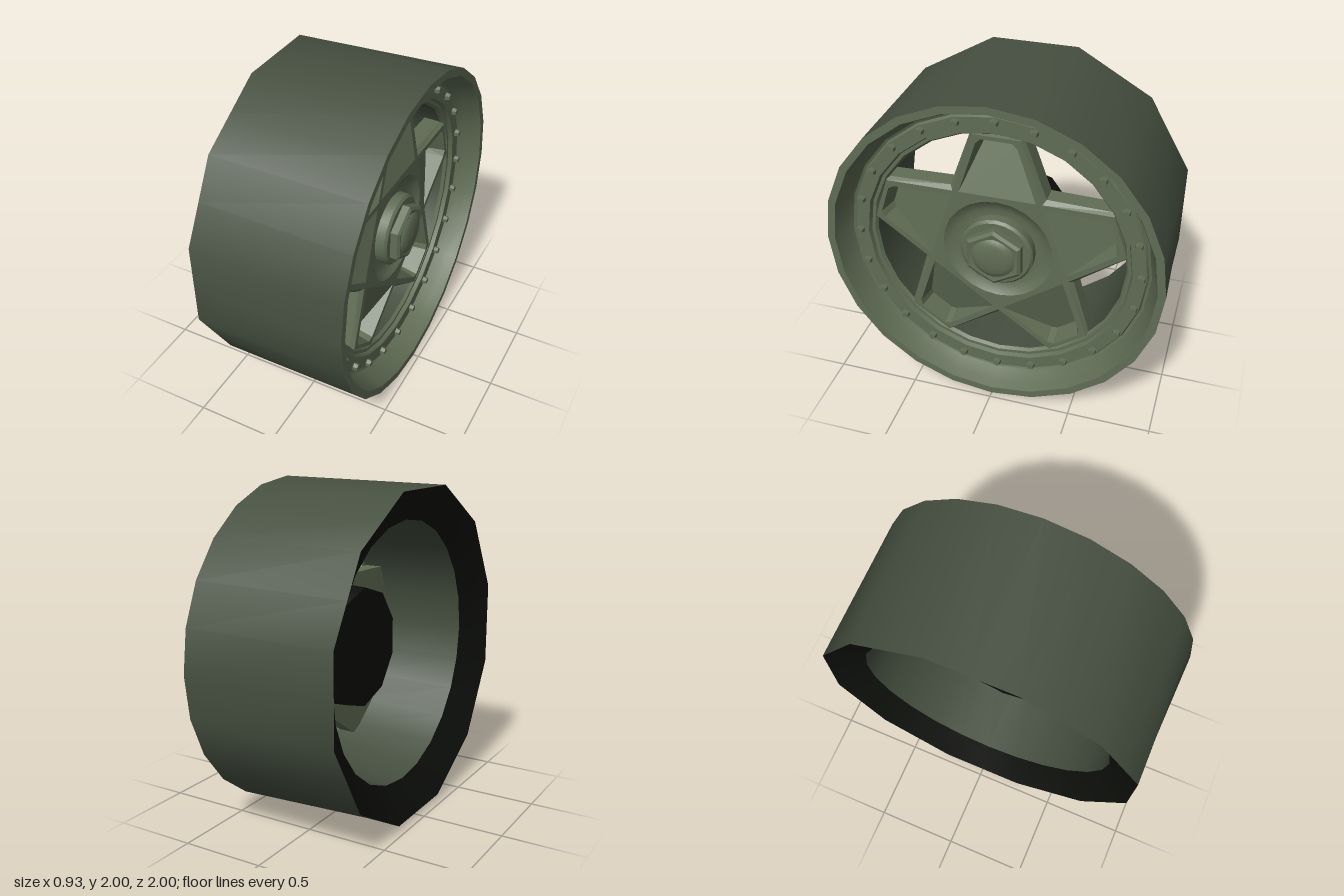
import * as THREE from 'three';
import { toCreasedNormals } from 'three/addons/utils/BufferGeometryUtils.js';

const paint = new THREE.MeshStandardMaterial({ color: 0x606d55 });
const shade = new THREE.MeshStandardMaterial({ color: 0x465040 });
const dark = new THREE.MeshStandardMaterial({ color: 0x0c0e0a });

// Parts are built facing +z; the whole wheel is turned to face +x at the end.
function lathe(profile, segments = 24) {
  const g = new THREE.LatheGeometry(profile.map(([r, z]) => new THREE.Vector2(r, z)), segments);
  return g.rotateX(Math.PI / 2);
}

function add(parent, name, geometry, material = paint) {
  const mesh = new THREE.Mesh(geometry, material);
  mesh.name = name;
  parent.add(mesh);
  return mesh;
}

// Lathe whose rear outer edge is 12-sided: every second point moves onto its chord
function barrelPart(profile) {
  const g = lathe(profile);
  const p = g.attributes.position;
  const chord = Math.cos(Math.PI / 12);
  for (let i = 0; i < p.count; i++) {
    const x = p.getX(i), y = p.getY(i);
    const step = Math.round(Math.atan2(y, x) / (Math.PI / 12));
    if (p.getZ(i) < -0.4 && step % 2 === 0) p.setXY(i, x * chord, y * chord);
  }
  return toCreasedNormals(g, 0.7);
}

// One spoke: side walls, bevelled raised frame and a panel sloping down to the tip
function spokeGeometry() {
  const face = 0.31, edge = 0.285, back = 0.18;
  const panel = (x, y) => [x, y, face - 0.36 * (y - 0.36)];
  const A = [0.28, 0.385, edge], B = [0.15, 0.752, edge];
  const A1 = [0.262, 0.361, face], B1 = [0.137, 0.742, face];
  const C = [0.225, 0.36, face], D = [0.118, 0.69, face], T = [0.088, 0.718, face];
  const P = panel(0.1, 0.668), Q = panel(0.075, 0.692);
  const Ab = [A[0], A[1], back], Bb = [B[0], B[1], back];
  const m = ([x, y, z]) => [-x, y, z];
  const out = [];
  const poly = (...v) => {
    for (let i = 1; i < v.length - 1; i++) out.push(...v[0], ...v[i], ...v[i + 1]);
  };
  const both = (...v) => {
    poly(...v);
    poly(...v.map(m).reverse());
  };
  both(Ab, Bb, B, A);
  both(A, B, B1, A1);
  both(A1, B1, D, C);
  both(B1, T, D);
  both(C, D, P);
  both(D, T, Q, P);
  poly(Bb, m(Bb), m(B), B);
  poly(B, m(B), m(B1), B1);
  poly(B1, m(B1), m(T), T);
  poly(T, m(T), m(Q), Q);
  poly(m(C), C, P, Q, m(Q), m(P));
  poly(m(Ab), m(Bb), Bb, Ab);
  poly([0, 0, back], m(Ab), Ab);
  const g = new THREE.BufferGeometry();
  g.setAttribute('position', new THREE.Float32BufferAttribute(out, 3));
  g.computeVertexNormals();
  return g;
}

// Flat pentagonal centre between the spokes, with a round opening for the hub
function centreGeometry() {
  const pts = [];
  for (let i = 0; i < 5; i++) {
    const a = i * Math.PI * 2 / 5;
    for (const [x, y] of [[0.225, 0.36], [-0.225, 0.36], [-0.262, 0.361]]) {
      pts.push(new THREE.Vector2(x, y).rotateAround(new THREE.Vector2(), a));
    }
  }
  const shape = new THREE.Shape(pts);
  const hole = [];
  for (let i = 0; i < 24; i++) {
    const a = -i * Math.PI / 12;
    hole.push(new THREE.Vector2(0.33 * Math.cos(a), 0.33 * Math.sin(a)));
  }
  shape.holes.push(new THREE.Path(hole));
  return new THREE.ShapeGeometry(shape).translate(0, 0, 0.31);
}

export function createModel() {
  const model = new THREE.Group();
  model.name = 'wheelRim';
  const wheel = new THREE.Group();
  wheel.name = 'wheel';
  wheel.rotation.y = Math.PI / 2;
  wheel.position.y = 1;
  model.add(wheel);

  // Barrel: outer shell, dished rear face and inner wall
  add(wheel, 'outerShell', barrelPart([[1, -0.465], [1, 0.465]]), shade);
  add(wheel, 'rearDish', barrelPart([[0.785, -0.345], [1, -0.465]]), dark);
  add(wheel, 'innerWall', lathe([[0.752, 0.29], [0.785, -0.345]]), shade);

  // Front lip, groove and bolt ring
  const lip = lathe([[1, 0.465], [0.955, 0.465], [0.94, 0.42], [0.922, 0.37], [0.9, 0.325],
    [0.885, 0.318], [0.875, 0.335], [0.795, 0.335], [0.785, 0.31], [0.765, 0.31], [0.752, 0.29]]);
  add(wheel, 'frontLip', toCreasedNormals(lip, 0.6));

  // Ring of small hexagonal bolts
  const bolts = new THREE.Group();
  bolts.name = 'bolts';
  wheel.add(bolts);
  const boltGeo = new THREE.CylinderGeometry(0.02, 0.027, 0.035, 6).rotateX(Math.PI / 2);
  const flatBolt = toCreasedNormals(boltGeo, 0.3);
  for (let i = 0; i < 24; i++) {
    const a = i * Math.PI / 12;
    add(bolts, 'bolt', flatBolt).position.set(Math.cos(a) * 0.845, Math.sin(a) * 0.845, 0.345);
  }

  // Five-spoke star
  const star = new THREE.Group();
  star.name = 'star';
  wheel.add(star);
  const spoke = spokeGeometry();
  for (let i = 0; i < 5; i++) add(star, 'spoke', spoke).rotation.z = i * Math.PI * 2 / 5;
  add(star, 'starCentre', centreGeometry());

  // Hub: dished surround and washer in front, ten-sided boss behind
  const hub = lathe([[0.33, 0.31], [0.3, 0.288], [0.26, 0.272], [0.22, 0.272],
    [0.22, 0.328], [0.205, 0.342], [0, 0.342]]);
  add(wheel, 'hubDish', toCreasedNormals(hub, 0.6));
  const boss = new THREE.CylinderGeometry(0.385, 0.37, 0.27, 10).rotateX(Math.PI / 2);
  add(wheel, 'rearBoss', toCreasedNormals(boss, 0.7), dark).position.z = 0.055;

  // Centre nut with chamfered edge and domed cap
  const nut = lathe([[0.185, 0.335], [0.185, 0.385], [0.165, 0.398], [0.13, 0.39], [0, 0.39]], 6);
  add(wheel, 'centreNut', toCreasedNormals(nut, 0.3));
  const cap = lathe([[0.132, 0.385], [0.125, 0.398], [0.095, 0.411], [0.05, 0.418], [0, 0.42]]);
  add(wheel, 'centreCap', cap);

  return model;
}
